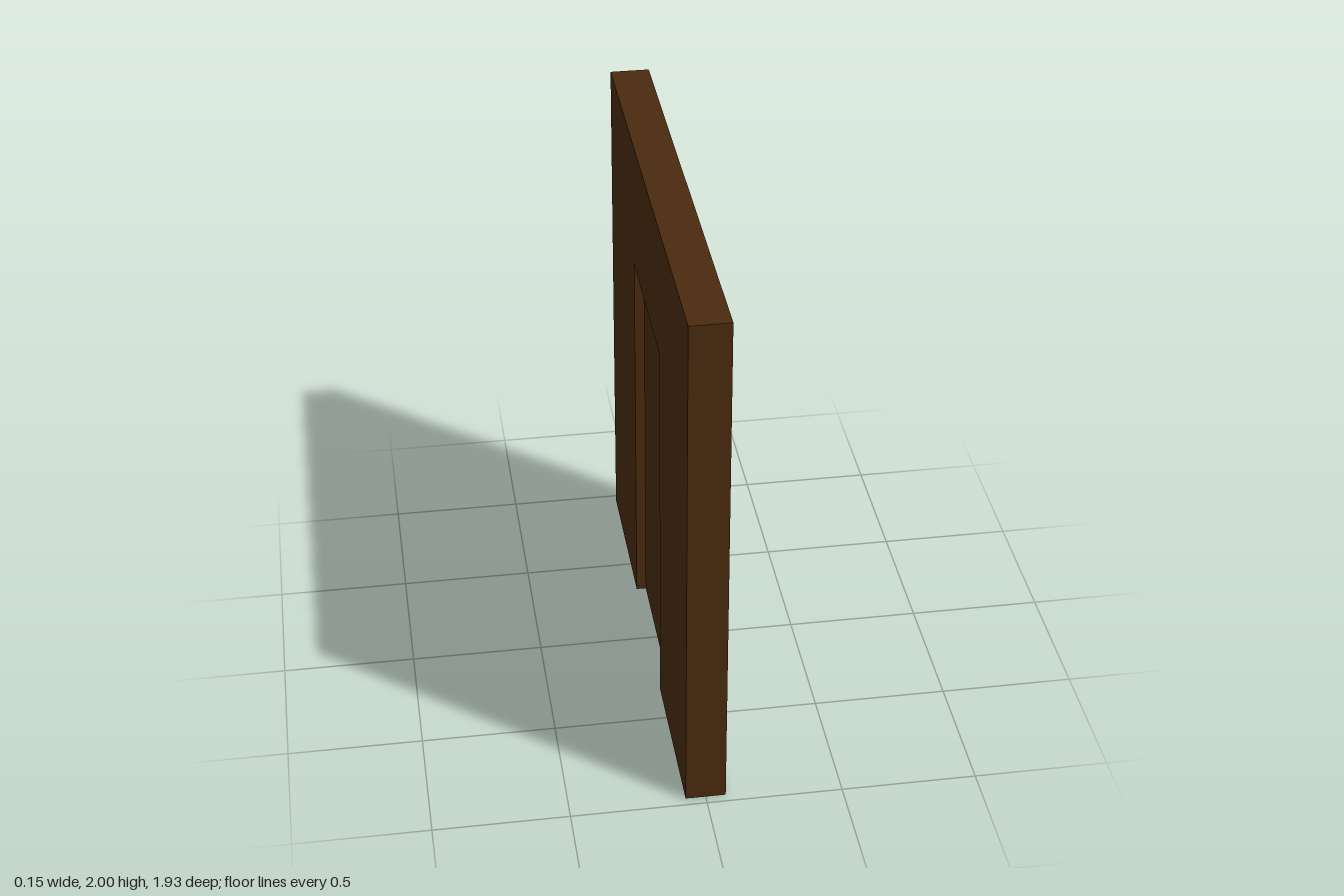
import * as THREE from 'three';

const WALL_THICKNESS = 0.148, DOOR_THICKNESS = 0.074;
const HANDLE_DEPTH = 0.017;

// Extrude a (z, y) outline along x, centred on x = 0
function slab(points, thickness) {
  const shape = new THREE.Shape(points.map(([z, y]) => new THREE.Vector2(z, y)));
  const geometry = new THREE.ExtrudeGeometry(shape, { depth: thickness, bevelEnabled: false });
  geometry.translate(0, 0, -thickness / 2);
  geometry.rotateY(-Math.PI / 2);
  return geometry;
}

export function createModel() {
  const model = new THREE.Group();
  model.name = 'wallWithDoor';
  const wood = new THREE.MeshStandardMaterial({ color: 0x4a2b0e });
  wood.name = 'dark brown wood';

  const add = (name, geometry, x = 0) => {
    const mesh = new THREE.Mesh(geometry, wood);
    mesh.name = name;
    mesh.position.x = x;
    model.add(mesh);
  };

  // Wall with a doorway open at the floor
  const w = 0.966, d = 0.325, top = 1.508;
  add('wall', slab([
    [-w, 0], [-d, 0], [-d, top], [d, top], [d, 0], [w, 0], [w, 2], [-w, 2],
  ], WALL_THICKNESS));

  // Door leaf, recessed from both wall faces
  add('door', slab([[-d, 0], [d, 0], [d, top], [-d, top]], DOOR_THICKNESS));

  // Slant-topped handle on each face of the door
  for (const side of [1, -1]) {
    add(side > 0 ? 'leftHandle' : 'rightHandle', slab([
      [0.217, 0.573], [0.276, 0.573], [0.276, 0.779], [0.217, 0.75],
    ], HANDLE_DEPTH), side * (DOOR_THICKNESS + HANDLE_DEPTH) / 2);
  }
  return model;
}
